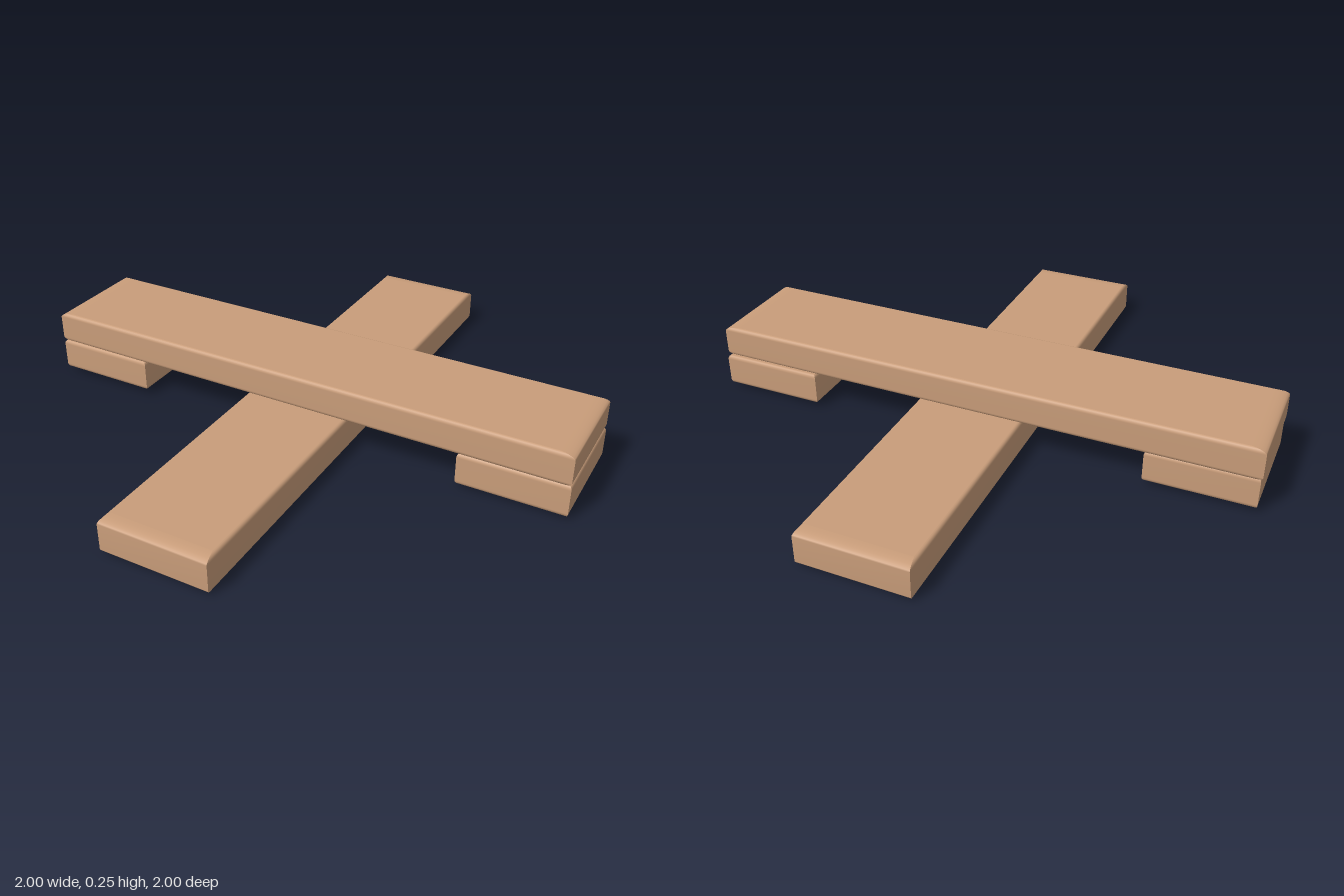
import * as THREE from 'three';

const wood = new THREE.MeshStandardMaterial({ color: 0xc99d7a });

// Plank between two corners; top and bottom edges are rounded by the insets bx, bz over a height r.
function plank(name, min, max, bx, bz, r = 0.015) {
  const w = max[0] - min[0], h = max[1] - min[1], d = max[2] - min[2];
  const steps = 5, rows = 2 * steps + 1;
  const geometry = new THREE.BoxGeometry(w, h, d, 1, rows, 1);
  const p = geometry.attributes.position;
  for (let i = 0; i < p.count; i++) {
    // Rows near the top and bottom follow a quarter arc, the middle row stays straight.
    const row = Math.round((p.getY(i) / h + 0.5) * rows);
    const upper = row > steps;
    const k = upper ? row - steps - 1 : steps - row;
    const a = (k / steps) * Math.PI / 2;
    const inset = 1 - Math.cos(a);
    const y = h / 2 - r + r * Math.sin(a);
    p.setXYZ(i,
      Math.sign(p.getX(i)) * (w / 2 - bx * inset),
      upper ? y : -y,
      Math.sign(p.getZ(i)) * (d / 2 - bz * inset));
  }
  geometry.computeVertexNormals();
  const mesh = new THREE.Mesh(geometry, wood);
  mesh.name = name;
  mesh.position.set((min[0] + max[0]) / 2, (min[1] + max[1]) / 2, (min[2] + max[2]) / 2);
  return mesh;
}

export function createModel() {
  const group = new THREE.Group();
  group.name = 'crossedPlanks';
  group.add(
    // Two long planks laid crosswise
    plank('lowerPlank', [-0.18, 0, -1], [0.21, 0.124, 1], 0.012, 0.05),
    plank('upperPlank', [-1, 0.131, -0.21], [1, 0.247, 0.178], 0.05, 0.012),
    // Short blocks under both ends of the upper plank
    plank('rightBlock', [-0.995, 0.018, -0.203], [-0.615, 0.134, 0.182], 0.01, 0.01),
    plank('leftBlock', [0.62, 0.012, -0.218], [1, 0.13, 0.172], 0.01, 0.01),
  );
  return group;
}
